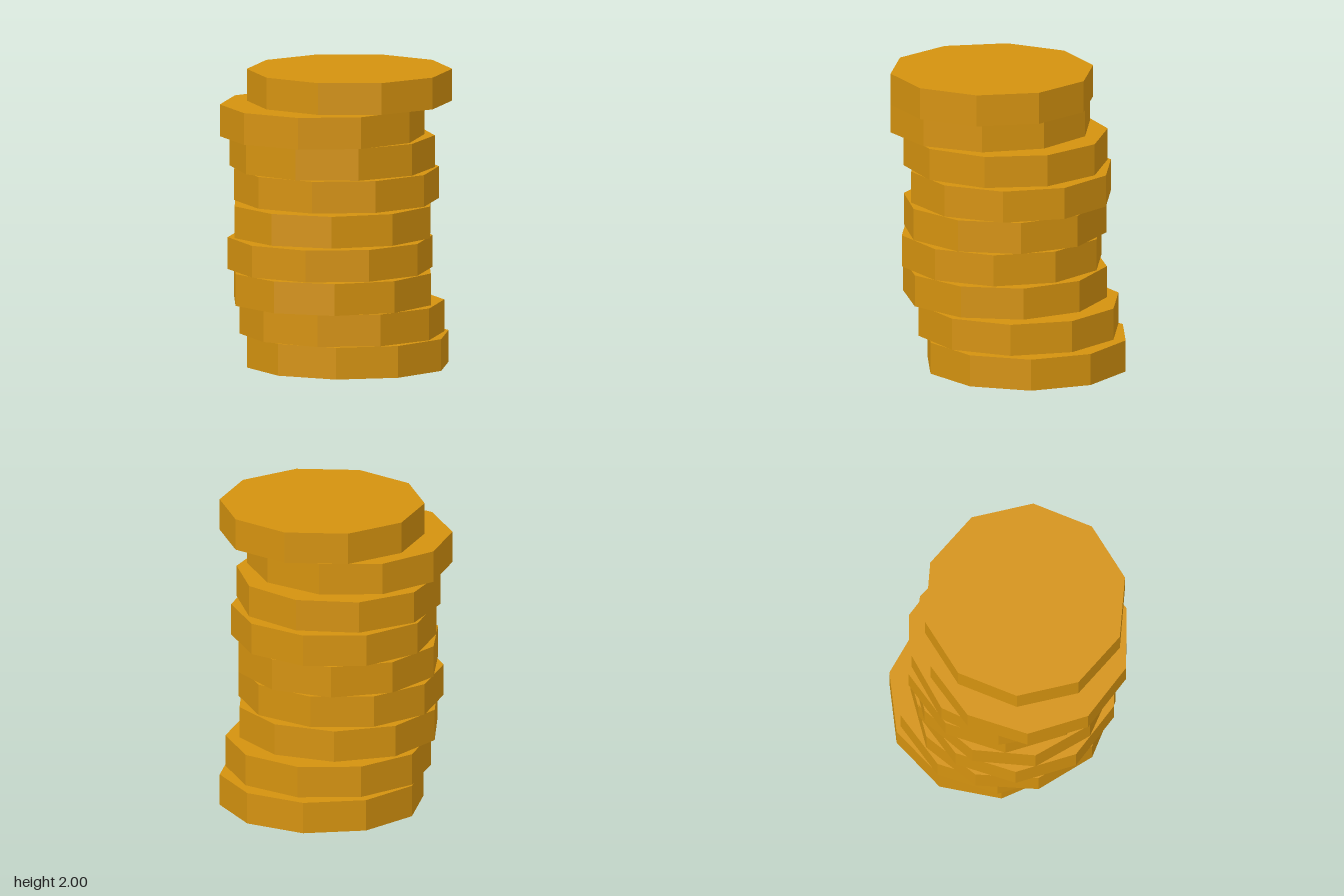
import * as THREE from 'three';

const RADIUS = 0.675;
const HEIGHT = 0.211;
const STEP = (2 - HEIGHT) / 8; // leaves a thin gap between coins

// Bottom to top: centre x, centre z, turn of the first corner from +x towards +z (degrees)
const COINS = [
  [-0.065, -0.145, -7],
  [-0.067, -0.073, 0],
  [-0.067, 0.044, 21],
  [-0.067, 0.073, 0],
  [-0.067, 0.043, 22.7],
  [-0.067, -0.008, 0],
  [-0.07, 0.042, 7.3],
  [-0.067, 0.172, 0],
  [0.065, 0.045, 4.1],
];

export function createModel() {
  const group = new THREE.Group();
  group.name = 'coinStack';

  const gold = new THREE.MeshStandardMaterial({ color: 0xd4920f });
  gold.name = 'gold';
  gold.flatShading = true;

  // Ten-sided coin, shared by the whole stack
  const coin = new THREE.CylinderGeometry(RADIUS, RADIUS, HEIGHT, 10);

  COINS.forEach(([x, z, turn], i) => {
    const mesh = new THREE.Mesh(coin, gold);
    mesh.name = `coin${i + 1}`;
    mesh.position.set(x, HEIGHT / 2 + i * STEP, z);
    mesh.rotation.y = THREE.MathUtils.degToRad(90 - turn);
    group.add(mesh);
  });

  return group;
}
